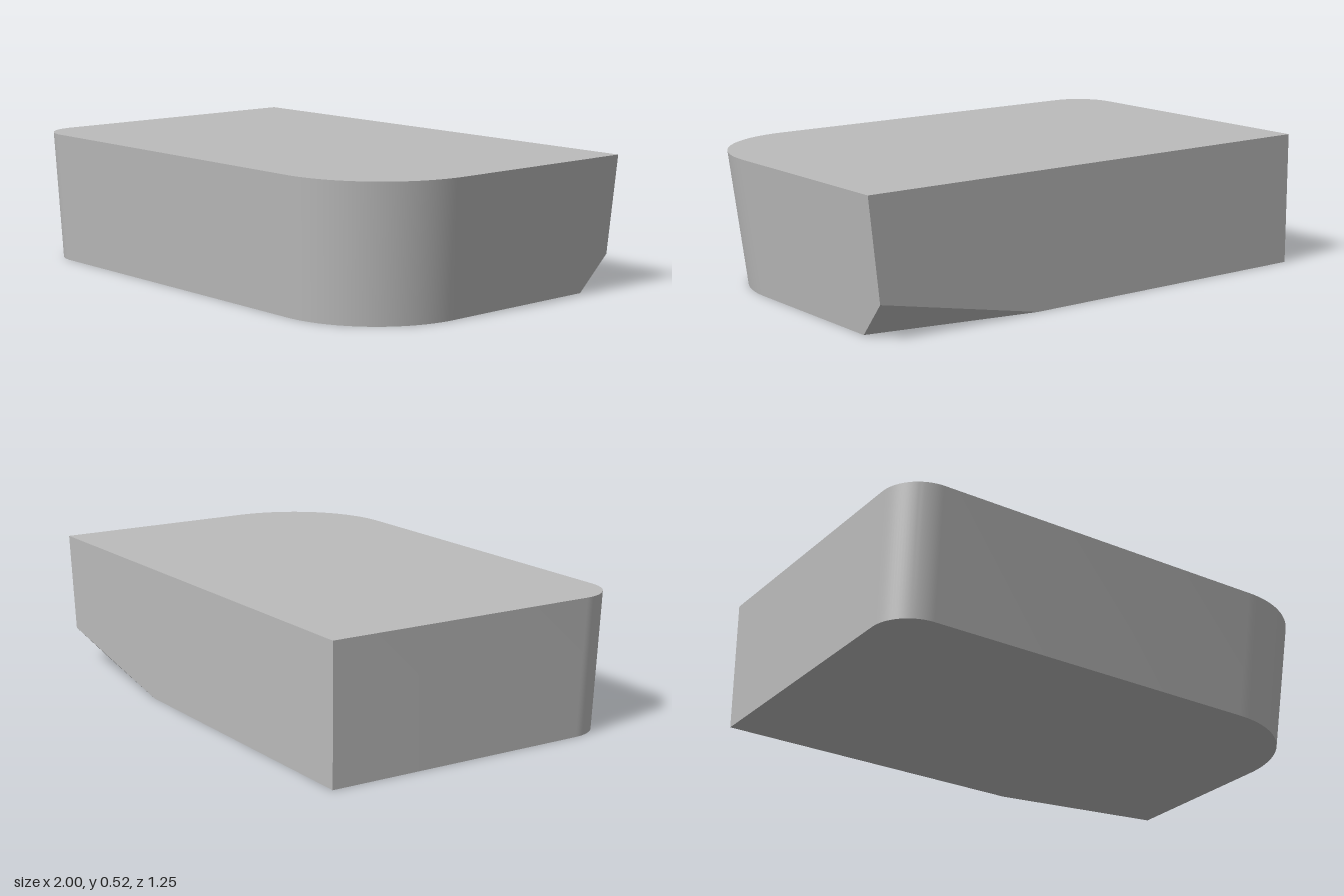
import * as THREE from 'three';
import { toCreasedNormals } from 'three/addons/utils/BufferGeometryUtils.js';

const HEIGHT = 0.52, DEPTH = 0.627; // DEPTH is half the full depth
const TAPER = 0.97; // size of the base relative to the top

// Points of a rounded corner, from angle a through a quarter turn
function corner(cx, cz, r, a, steps = 24) {
  return Array.from({ length: steps + 1 }, (_, i) => {
    const t = a + (i / steps) * Math.PI / 2;
    return [cx + r * Math.cos(t), cz + r * Math.sin(t)];
  });
}

export function createModel() {
  const grey = new THREE.MeshStandardMaterial({ color: 0xbbbbbb });
  grey.name = 'plain grey';

  // Outline: two sharp back corners, one large and one small rounded front corner
  const R = 0.43, r = 0.16;
  const outline = [
    [-1, -DEPTH], [1, -DEPTH],
    ...corner(1 - R, DEPTH - R, R, 0),
    ...corner(-1 + r, DEPTH - r, r, Math.PI / 2),
  ];
  const top = outline.map(([x, z]) => [x, HEIGHT, z]);
  // The base shrinks towards the sharp back corner at -x
  const base = outline.map(([x, z]) => [-1 + (x + 1) * TAPER, 0, -DEPTH + (z + DEPTH) * TAPER]);

  // Slanted cut across the lower back corner at +x
  const cutBack = [0.27, 0, -DEPTH];
  const cutSide = [base[1][0], 0, -0.5];
  const cutTop = [base[1][0] + (1 - base[1][0]) * 0.136 / HEIGHT, 0.136, -DEPTH];

  const positions = [];
  const face = (...p) => {
    for (let i = 1; i < p.length - 1; i++) positions.push(...p[0], ...p[i], ...p[i + 1]);
  };

  face(...[...top].reverse()); // top
  face(base[0], cutBack, cutSide, ...base.slice(2)); // underside
  face(base[0], top[0], top[1], cutTop, cutBack); // back wall
  face(cutTop, top[1], top[2], base[2], cutSide); // side wall at +x
  face(cutBack, cutTop, cutSide); // slanted cut
  for (let i = 2; i < outline.length; i++) { // front, rounded corners and side at -x
    const j = (i + 1) % outline.length;
    face(base[i], top[i], top[j], base[j]);
  }

  const geometry = new THREE.BufferGeometry();
  geometry.setAttribute('position', new THREE.Float32BufferAttribute(positions, 3));
  const block = new THREE.Mesh(toCreasedNormals(geometry, 0.4), grey);
  block.name = 'taperedBlock';

  const group = new THREE.Group();
  group.name = 'roundedBlock';
  group.add(block);
  return group;
}
